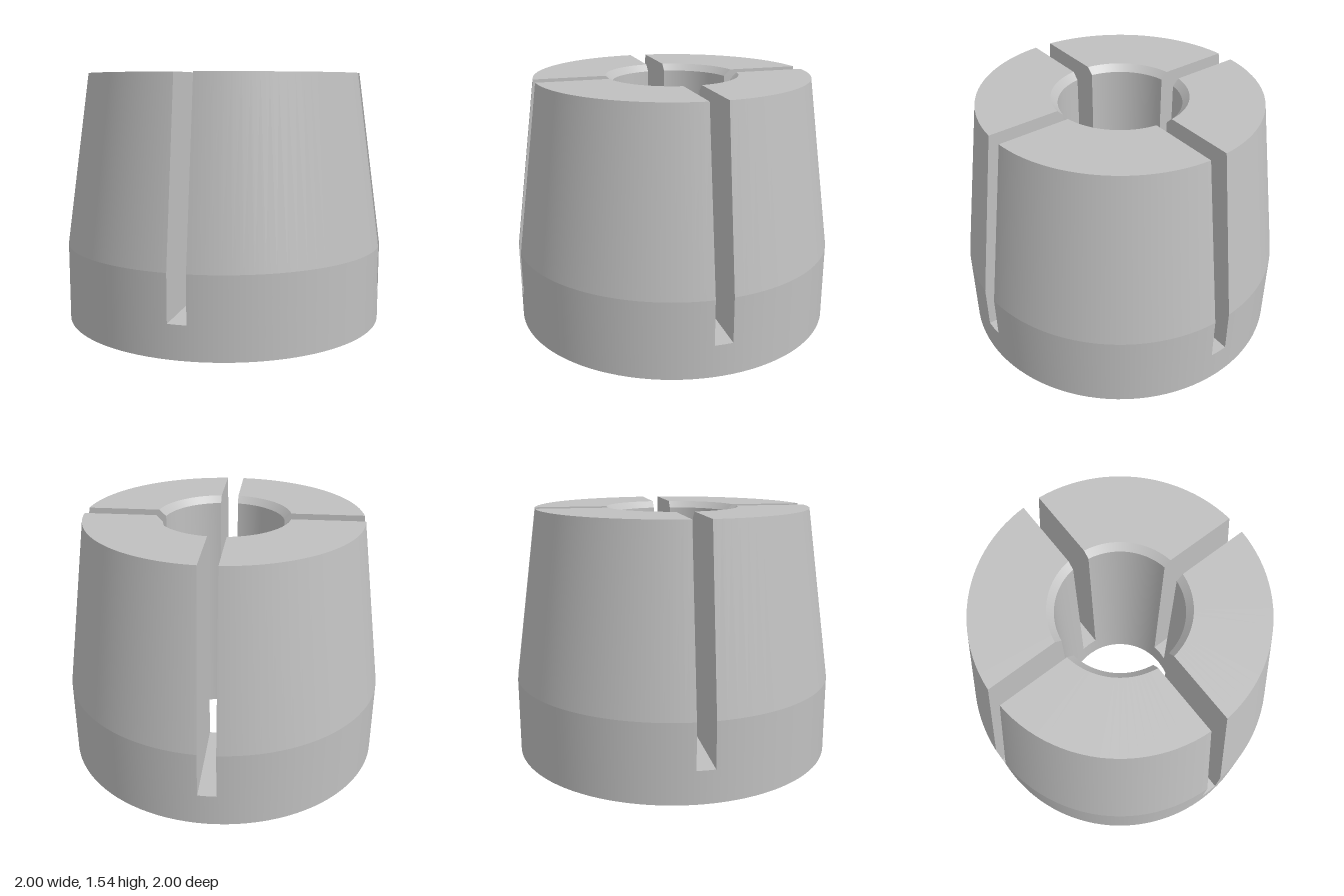
import * as THREE from 'three';
import { mergeGeometries } from 'three/addons/utils/BufferGeometryUtils.js';

const HALF_SLOT = 0.055;
const QUARTER = Math.PI / 2;
const SLOT_FLOOR = 0.2;

// Profiles as [radius, height], ordered so the outside lies to the right of travel
const jawProfile = [[1, SLOT_FLOOR], [1, 0.48], [0.85, 1.54], [0.41, 1.54], [0.37, 1.5], [0.37, SLOT_FLOOR]];
const baseProfile = [[0.37, SLOT_FLOOR], [0.37, 0], [1, 0], [1, SLOT_FLOOR]];
const floorProfile = [[1, SLOT_FLOOR], [0.37, SLOT_FLOOR]];

// Angle limits at radius r: between two slots, or across one slot
const slotAngle = (r) => Math.asin(HALF_SLOT / r);
const betweenSlots = (r) => [-QUARTER / 2 + slotAngle(r), QUARTER / 2 - slotAngle(r)];
const acrossSlot = (r) => [QUARTER / 2 - slotAngle(r), QUARTER / 2 + slotAngle(r)];

// Sweep a profile around y within the angle limits, smooth around and sharp between bands
function sweep(profile, limits, steps) {
  const bands = [];
  for (let i = 0; i + 1 < profile.length; i++) {
    const pair = [profile[i], profile[i + 1]];
    const dr = pair[1][0] - pair[0][0], dy = pair[1][1] - pair[0][1];
    const len = Math.hypot(dr, dy);
    const pos = [], nor = [], uv = [], index = [];
    for (let s = 0; s <= steps; s++) {
      for (const [r, y] of pair) {
        const [a0, a1] = limits(r);
        const a = a0 + (a1 - a0) * s / steps;
        pos.push(r * Math.sin(a), y, r * Math.cos(a));
        nor.push(dy / len * Math.sin(a), -dr / len, dy / len * Math.cos(a));
        uv.push(s / steps, y);
      }
      if (s < steps) {
        const k = 2 * s;
        index.push(k, k + 2, k + 3, k, k + 3, k + 1);
      }
    }
    const g = new THREE.BufferGeometry();
    g.setAttribute('position', new THREE.Float32BufferAttribute(pos, 3));
    g.setAttribute('normal', new THREE.Float32BufferAttribute(nor, 3));
    g.setAttribute('uv', new THREE.Float32BufferAttribute(uv, 2));
    g.setIndex(index);
    bands.push(g);
  }
  return mergeGeometries(bands);
}

// Flat slot wall: the jaw section cut at the slot's offset from the axis
function slotWall(side) {
  const points = jawProfile.map(([r, y]) =>
    new THREE.Vector2(side * Math.sqrt(r * r - HALF_SLOT * HALF_SLOT), y));
  return new THREE.ShapeGeometry(new THREE.Shape(points)).translate(0, 0, -HALF_SLOT);
}

export function createModel() {
  const model = new THREE.Group();
  model.name = 'splitTaperedCollet';
  const steel = new THREE.MeshStandardMaterial({ color: 0xc0c0c0 });
  steel.name = 'steelGrey';

  const add = (parent, name, geometry, turn = 0) => {
    const mesh = new THREE.Mesh(geometry, steel);
    mesh.name = name;
    mesh.rotation.y = turn;
    parent.add(mesh);
  };

  const jaw = sweep(jawProfile, betweenSlots, 24);
  const baseWide = sweep(baseProfile, betweenSlots, 24);
  const baseNarrow = sweep(baseProfile, acrossSlot, 2);
  const floor = sweep(floorProfile, acrossSlot, 2);
  const walls = [slotWall(1), slotWall(-1)];

  // Four jaws and slots on one solid base ring
  for (let q = 0; q < 4; q++) {
    const quarter = new THREE.Group();
    quarter.name = 'quarter' + (q + 1);
    quarter.rotation.y = q * QUARTER;
    add(quarter, 'jaw', jaw);
    add(quarter, 'baseRing', baseWide);
    add(quarter, 'baseRingUnderSlot', baseNarrow);
    add(quarter, 'slotFloor', floor);
    walls.forEach((w) => add(quarter, 'slotWall', w, QUARTER / 2));
    model.add(quarter);
  }
  return model;
}
